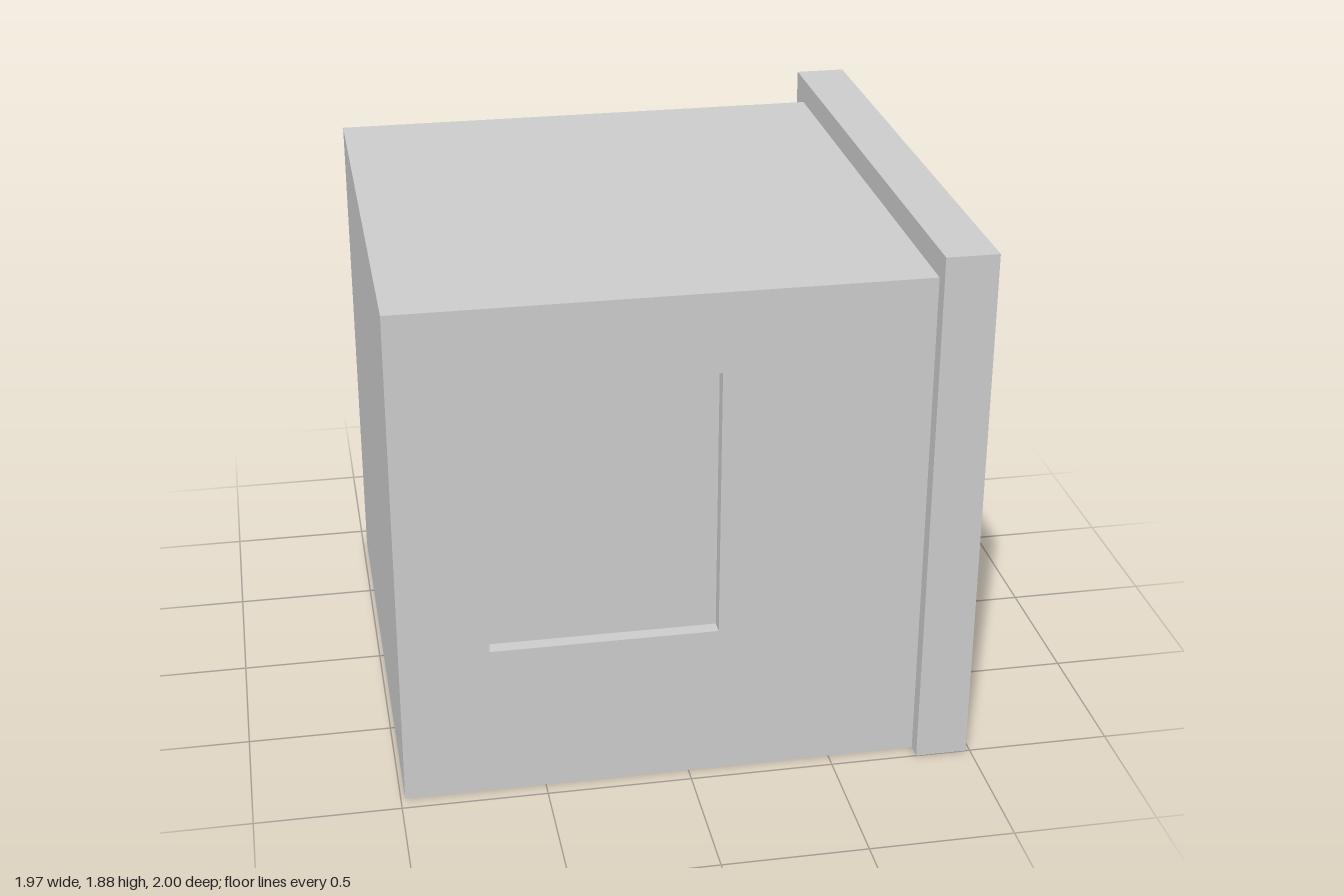
import * as THREE from 'three';

export function createModel() {
  const group = new THREE.Group();
  const mat = new THREE.MeshStandardMaterial({ color: 0xcccccc, side: THREE.DoubleSide });
  const add = (name, geometry) => {
    const mesh = new THREE.Mesh(geometry, mat);
    mesh.name = name;
    group.add(mesh);
    return mesh;
  };
  // Box given by its limits along each axis
  const box = (name, x0, x1, y0, y1, z0, z1) =>
    add(name, new THREE.BoxGeometry(x1 - x0, y1 - y0, z1 - z0))
      .position.set((x0 + x1) / 2, (y0 + y1) / 2, (z0 + z1) / 2);
  const rect = (Type, x0, x1, y0, y1) => new Type([
    [x0, y0], [x1, y0], [x1, y1], [x0, y1],
  ].map(([x, y]) => new THREE.Vector2(x, y)));

  const L = -0.985, R = 0.805, H = 1.79, D = 0.895, T = 0.004;

  // Thin hollow room, open towards +x
  box('floor', L, R, 0, T, -D, D);
  box('roof', L, R, H - T, H, -D, D);
  box('endWall', L, L + T, T, H - T, -D, D);
  box('backWall', L + T, R, T, H - T, -D, -D + T);
  box('innerFrontWall', L + T, R, T, H - T, D - T, D);

  // Thick front wall with a window recess
  const wall = rect(THREE.Shape, L, R, 0, H);
  wall.holes.push(rect(THREE.Path, -0.68, 0.1, 0.55, 1.51));
  add('frontWall', new THREE.ExtrudeGeometry(wall, { depth: 0.05, bevelEnabled: false }))
    .position.z = D;

  // U-shaped door surround, drawn in z-y and extruded along x
  const surround = new THREE.Shape([
    [-1, 0], [-D, 0], [-D, H], [D, H], [D, 0], [1, 0], [1, 1.88], [-1, 1.88],
  ].map(([x, y]) => new THREE.Vector2(x, y)));
  const frame = add('doorFrame', new THREE.ExtrudeGeometry(surround, { depth: 0.18, bevelEnabled: false }));
  frame.rotation.y = Math.PI / 2;
  frame.position.x = R;

  // Door panel with a gap around its sides and top
  box('door', R - 0.05, R, 0, 1.68, -0.783, 0.783);

  // Two flat ceiling lights
  for (const s of [-1, 1]) {
    const z = s * 0.42;
    box('ceilingLight', -0.45, 0.25, 1.775, H - T, z - 0.295, z + 0.295);
  }
  return group;
}
